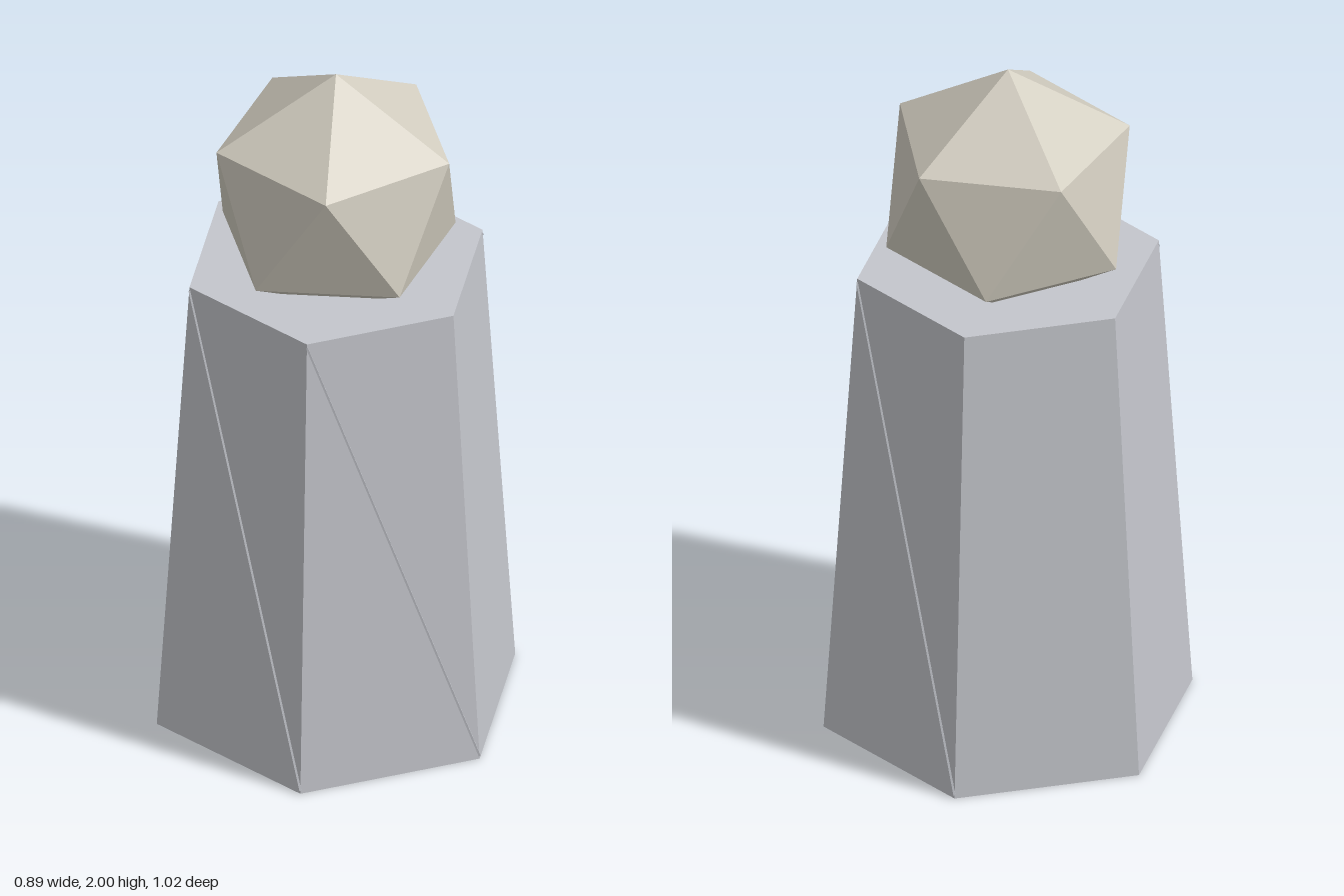
import * as THREE from 'three';

const SIDES = 6, BASE_R = 0.51, TOP_R = 0.417, HEIGHT = 1.4;

const stone = new THREE.MeshStandardMaterial({ color: 0xc4c6cc, flatShading: true });
const gemMaterial = new THREE.MeshStandardMaterial({ color: 0xd2cdc0, flatShading: true });

// corner k of the pedestal, counted from +z towards +x
function corner(k, radius, y) {
  const a = (k / SIDES) * Math.PI * 2;
  return new THREE.Vector3(Math.sin(a) * radius, y, Math.cos(a) * radius);
}

// fine diagonal seam, half sunk in the face between corners k and k + 1
function makeSeam(k) {
  const path = new THREE.LineCurve3(corner(k, TOP_R, HEIGHT - 0.01), corner(k + 1, BASE_R, 0.01));
  const seam = new THREE.Mesh(new THREE.TubeGeometry(path, 1, 0.004, 4), stone);
  seam.name = 'diagonalSeam';
  return seam;
}

export function createModel() {
  const model = new THREE.Group();
  model.name = 'gemOnPedestal';

  // tapered hexagonal pedestal
  const pedestal = new THREE.Mesh(new THREE.CylinderGeometry(TOP_R, BASE_R, HEIGHT, SIDES), stone);
  pedestal.position.y = HEIGHT / 2;
  pedestal.name = 'pedestal';
  model.add(pedestal);

  // seams on three of the six faces
  for (const k of [-2, -1, 1]) model.add(makeSeam(k));

  // icosahedron standing on a corner, its lower tip sunk in the pedestal
  const radius = 0.369;
  const golden = (1 + Math.sqrt(5)) / 2;
  const gemGeometry = new THREE.IcosahedronGeometry(radius, 0);
  gemGeometry.rotateX(-Math.atan(golden)).rotateY(Math.PI / 2);
  const gem = new THREE.Mesh(gemGeometry, gemMaterial);
  gem.position.y = 2 - radius;
  gem.name = 'gem';
  model.add(gem);

  return model;
}
